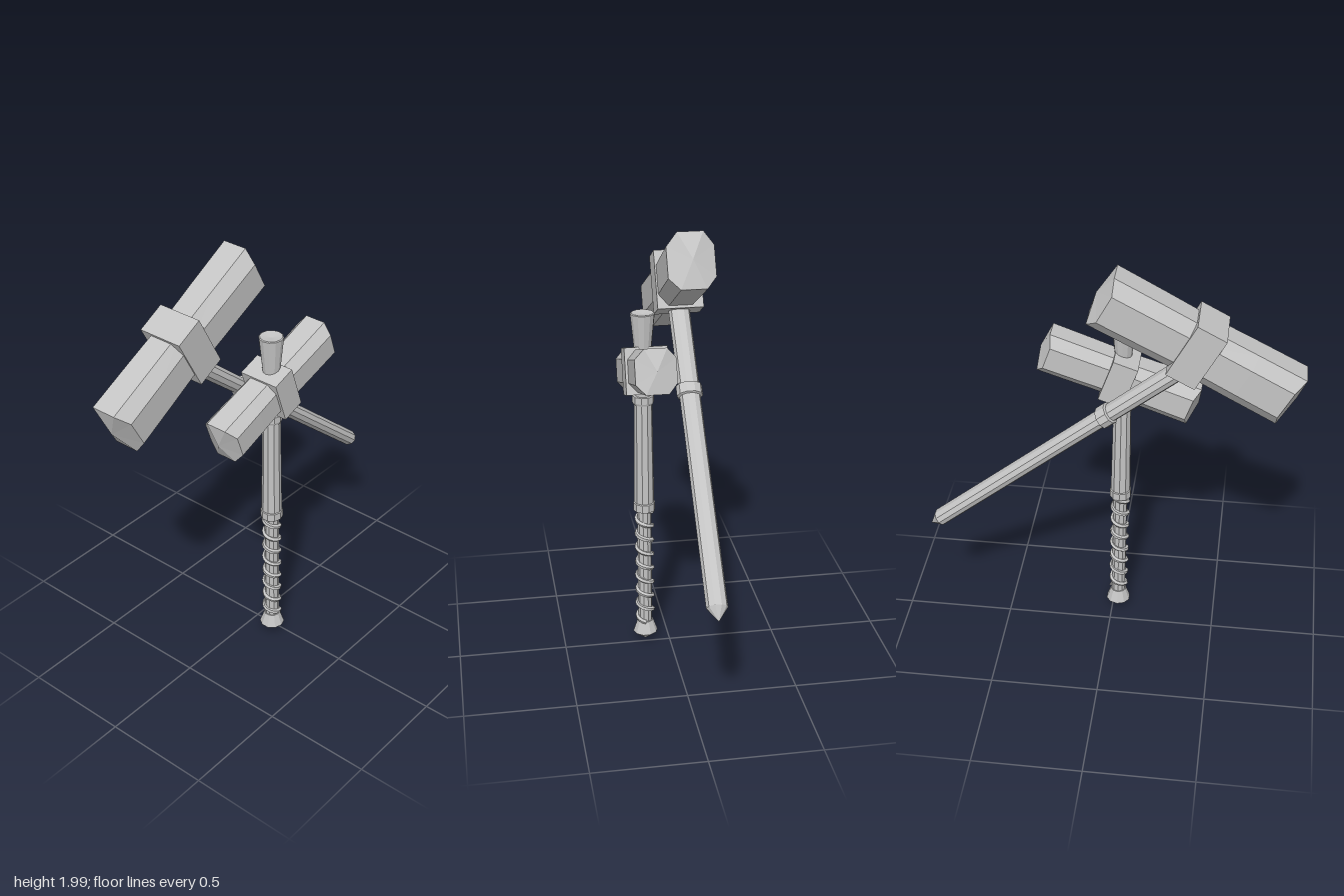
import * as THREE from 'three';

const steel = new THREE.MeshStandardMaterial({ color: 0xc4c4c4, flatShading: true });
steel.name = 'plainGrey';

function add(parent, name, geometry) {
  const mesh = new THREE.Mesh(geometry, steel);
  mesh.name = name;
  parent.add(mesh);
  return mesh;
}

// Turned part from [radius, height] pairs
function turned(profile, sides = 10) {
  return new THREE.LatheGeometry(profile.map(([r, y]) => new THREE.Vector2(r, y)), sides);
}

// Hammer head along x: chamfered octagonal bar, slightly waisted, with shallow pointed ends
function headGeometry(L, h, d, bulge) {
  const ring = [
    [1, -0.55], [1, 0.55], [0.55, 1], [-0.55, 1],
    [-1, 0.55], [-1, -0.55], [-0.55, -1], [0.55, -1],
  ];
  const stations = [[-1, 1], [-0.5, 0.97], [0, 0.92], [0.5, 0.97], [1, 1]];
  const pos = [], idx = [];
  stations.forEach(([s, k]) => {
    ring.forEach(([y, z]) => {
      const back = Math.abs(s) === 1 && Math.abs(z) === 1 ? bulge : 0; // side corners set back
      pos.push(s * (L - back), y * h * (0.5 + k / 2), z * d * k);
    });
  });
  const n = ring.length, last = (stations.length - 1) * n;
  for (let i = 0; i < stations.length - 1; i++) {
    for (let j = 0; j < n; j++) {
      const a = i * n + j, e = i * n + (j + 1) % n;
      idx.push(a, e, a + n, e, e + n, a + n);
    }
  }
  const left = pos.length / 3, right = left + 1;
  pos.push(-L - bulge, 0, 0, L + bulge, 0, 0);
  for (let j = 0; j < n; j++) {
    const k = (j + 1) % n;
    idx.push(left, k, j, right, last + j, last + k);
  }
  const g = new THREE.BufferGeometry();
  g.setAttribute('position', new THREE.Float32BufferAttribute(pos, 3));
  g.setIndex(idx);
  const flat = g.toNonIndexed();
  flat.computeVertexNormals();
  return flat;
}

// Head with the band around its middle
function makeHead(name, { L, h, d, bulge, band, at, tilt }) {
  const head = new THREE.Group();
  head.name = name;
  add(head, 'headBlock', headGeometry(L, h, d, bulge));
  add(head, 'headBand', new THREE.BoxGeometry(...band));
  head.position.set(...at);
  head.rotation.z = THREE.MathUtils.degToRad(tilt);
  return head;
}

// Group whose y axis runs from one point to another
function along(name, from, to) {
  const g = new THREE.Group();
  g.name = name;
  const a = new THREE.Vector3(...from), dir = new THREE.Vector3(...to).sub(a);
  g.position.copy(a);
  g.quaternion.setFromUnitVectors(new THREE.Vector3(0, 1, 0), dir.clone().normalize());
  g.userData.length = dir.length();
  return g;
}

function smallHammer() {
  const hammer = new THREE.Group();
  hammer.name = 'smallHammer';
  const handle = along('smallHandle', [-0.027, 0.005, 0.113], [-0.048, 1.64, 0.113]);

  add(handle, 'pommel', turned([[0, 0], [0.058, 0.045], [0.037, 0.105], [0, 0.105]]));
  add(handle, 'gripCore', turned([[0.033, 0.09], [0.033, 0.7]]));
  // Cord wound around the grip
  const turns = 8, pts = [];
  for (let i = 0; i <= turns * 10; i++) {
    const a = i / 10 * Math.PI * 2;
    pts.push(new THREE.Vector3(Math.cos(a) * 0.036, 0.105 + 0.585 * i / (turns * 10), Math.sin(a) * 0.036));
  }
  add(handle, 'gripCord', new THREE.TubeGeometry(new THREE.CatmullRomCurve3(pts), turns * 14, 0.011, 5));
  add(handle, 'lowerCollar', turned([[0, 0.685], [0.051, 0.685], [0.051, 0.722], [0.046, 0.727], [0, 0.727]]));
  add(handle, 'shaft', turned([[0.047, 0.72], [0.041, 1.22]]));
  add(handle, 'upperCollar', turned([[0, 1.21], [0.046, 1.21], [0.05, 1.22], [0.05, 1.25], [0, 1.25]]));
  add(handle, 'flaredTop', turned([[0.036, 1.24], [0.038, 1.46], [0.055, 1.632], [0.05, 1.635], [0, 1.628]], 12));

  hammer.add(handle, makeHead('smallHead', {
    L: 0.355, h: 0.098, d: 0.09, bulge: 0.02,
    band: [0.115, 0.21, 0.193], at: [-0.033, 1.375, 0.104], tilt: 19.3,
  }));
  return hammer;
}

function largeHammer() {
  const hammer = new THREE.Group();
  hammer.name = 'largeHammer';
  // The shaft is slightly oval, deeper than it is wide
  const handle = along('largeHandle', [0.842, 0.58, -0.068], [-0.36, 1.587, -0.098]);
  const len = handle.userData.length;
  add(handle, 'shaft', turned([[0, 0], [0.046, 0.062], [0.046, len * 0.55], [0.049, len]]));
  add(handle, 'collar', turned([[0.046, 1.06], [0.058, 1.065], [0.058, 1.115], [0.046, 1.12]]));
  handle.children.forEach((m) => m.scale.set(0.84, 1, 1.02));

  hammer.add(handle, makeHead('largeHead', {
    L: 0.46, h: 0.127, d: 0.106, bulge: 0.025,
    band: [0.14, 0.272, 0.213], at: [-0.383, 1.67, -0.095], tilt: 28,
  }));
  return hammer;
}

export function createModel() {
  const model = new THREE.Group();
  model.name = 'crossedHammers';
  model.add(smallHammer(), largeHammer());
  return model;
}
